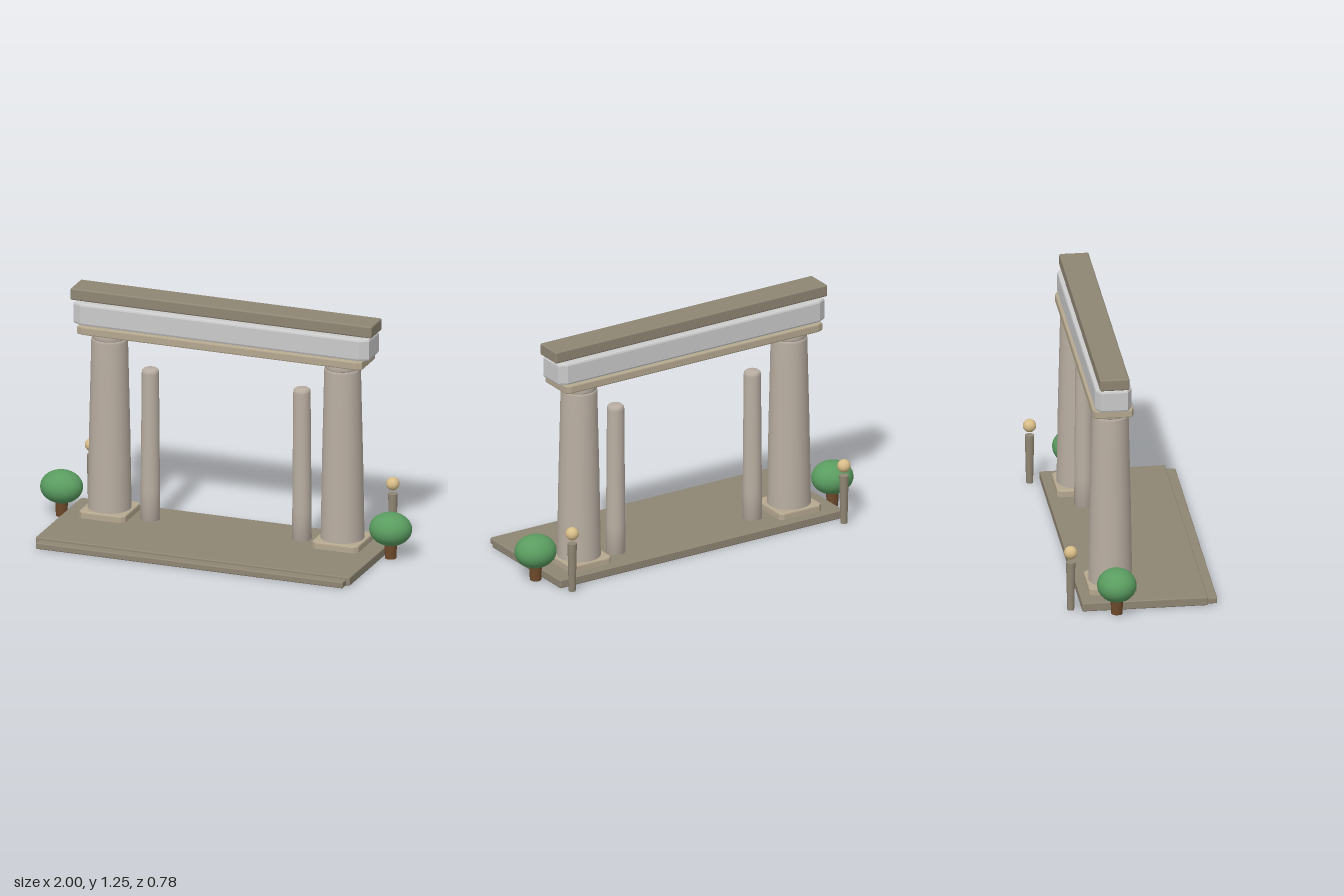
import * as THREE from 'three';
import { RoundedBoxGeometry } from 'three/addons/geometries/RoundedBoxGeometry.js';

const mat = (color) => new THREE.MeshStandardMaterial({ color });
const darkStone = mat(0x8f8674);
const tanStone = mat(0xb5a890);
const shaftStone = mat(0xb9aea2);
const paleStone = mat(0xcccccc);
const leaf = mat(0x5a9c60);
const bark = mat(0x6e4a2b);
const glow = mat(0xd8bd88);

const AXIS_Z = -0.13; // line of the columns and beams

function add(parent, name, geometry, material, x = 0, y = 0, z = 0) {
  const mesh = new THREE.Mesh(geometry, material);
  mesh.name = name;
  mesh.position.set(x, y, z);
  parent.add(mesh);
  return mesh;
}

// Slab from y = 0 up, corners cut in plan by (cx, cz), horizontal edges bevelled by b
function slab(w, h, d, cx, cz, b) {
  const x = w / 2, z = d / 2;
  const shape = new THREE.Shape([
    [x, -z + cz], [x, z - cz], [x - cx, z], [-x + cx, z],
    [-x, z - cz], [-x, -z + cz], [-x + cx, -z], [x - cx, -z],
  ].map(([px, pz]) => new THREE.Vector2(px, pz)));
  const geometry = new THREE.ExtrudeGeometry(shape, {
    depth: h - 2 * b, bevelThickness: b, bevelSize: b, bevelOffset: -b, bevelSegments: 2,
  });
  return geometry.translate(0, 0, b).rotateX(-Math.PI / 2);
}

// Turned part from [radius, y] pairs
const turned = (points, sides = 40) =>
  new THREE.LatheGeometry(points.map(([r, y]) => new THREE.Vector2(r, y)), sides);

function createColumn() {
  const column = new THREE.Group();
  add(column, 'plinth', slab(0.25, 0.045, 0.245, 0.02, 0.02, 0.008), tanStone, 0, 0.037);
  add(column, 'shaft', turned([
    [0, 0.07], [0.111, 0.07], [0.111, 0.08], [0.109, 0.2], [0.104, 0.5],
    [0.097, 0.8], [0.093, 0.98], [0.089, 0.992], [0, 0.992],
  ]), shaftStone);
  add(column, 'neckRing', turned([
    [0, 0.99], [0.088, 0.99], [0.092, 0.997], [0.092, 1.018], [0.088, 1.024], [0, 1.024],
  ]), shaftStone);
  return column;
}

function createTree() {
  const tree = new THREE.Group();
  add(tree, 'trunk', new THREE.CylinderGeometry(0.033, 0.029, 0.1, 20), bark, 0, 0.052);
  add(tree, 'crown', new THREE.SphereGeometry(1, 32, 20), leaf, 0, 0.157).scale.set(0.11, 0.085, 0.1);
  return tree;
}

function createLamp() {
  const lamp = new THREE.Group();
  add(lamp, 'lampPost', new THREE.CylinderGeometry(0.024, 0.018, 0.26, 20), darkStone, 0, 0.133);
  add(lamp, 'lampGlobe', new THREE.SphereGeometry(0.034, 24, 16), glow, 0, 0.315);
  return lamp;
}

export function createModel() {
  const model = new THREE.Group();
  model.name = 'colonnadeGate';

  // Floor and front step
  add(model, 'platform', new RoundedBoxGeometry(1.7, 0.045, 0.64, 2, 0.006), darkStone, 0, 0.0235, 0.02);
  add(model, 'frontStep', new RoundedBoxGeometry(1.66, 0.033, 0.1, 2, 0.006), darkStone, 0, 0.0175, 0.339);

  // Stacked beams
  add(model, 'architrave', slab(1.54, 0.045, 0.21, 0.03, 0.012, 0.007), tanStone, 0, 1.02, AXIS_Z);
  add(model, 'frieze', slab(1.6, 0.117, 0.186, 0.045, 0.025, 0.012), paleStone, 0, 1.065, AXIS_Z);
  add(model, 'friezeJoint', new THREE.BoxGeometry(1.5, 0.02, 0.1), darkStone, 0, 1.185, AXIS_Z);
  add(model, 'cornice', new RoundedBoxGeometry(1.63, 0.062, 0.15, 2, 0.008), darkStone, 0, 1.221, AXIS_Z);

  // Mirrored pairs
  for (const side of [1, -1]) {
    const label = side > 0 ? 'left' : 'right';
    const place = (part, name, x, z) => {
      part.name = label + name;
      part.position.set(side * x, 0, z);
      model.add(part);
    };
    place(createColumn(), 'Column', 0.63, AXIS_Z);
    place(createTree(), 'Tree', 0.89, AXIS_Z);
    place(createLamp(), 'LampStand', 0.815, -0.355);
    add(model, label + 'SlimColumn', turned([
      [0, 0.03], [0.05, 0.03], [0.049, 0.2], [0.044, 0.828], [0.042, 0.842], [0.034, 0.85], [0, 0.851],
    ], 28), shaftStone, side * 0.41, 0, AXIS_Z);
  }
  return model;
}
